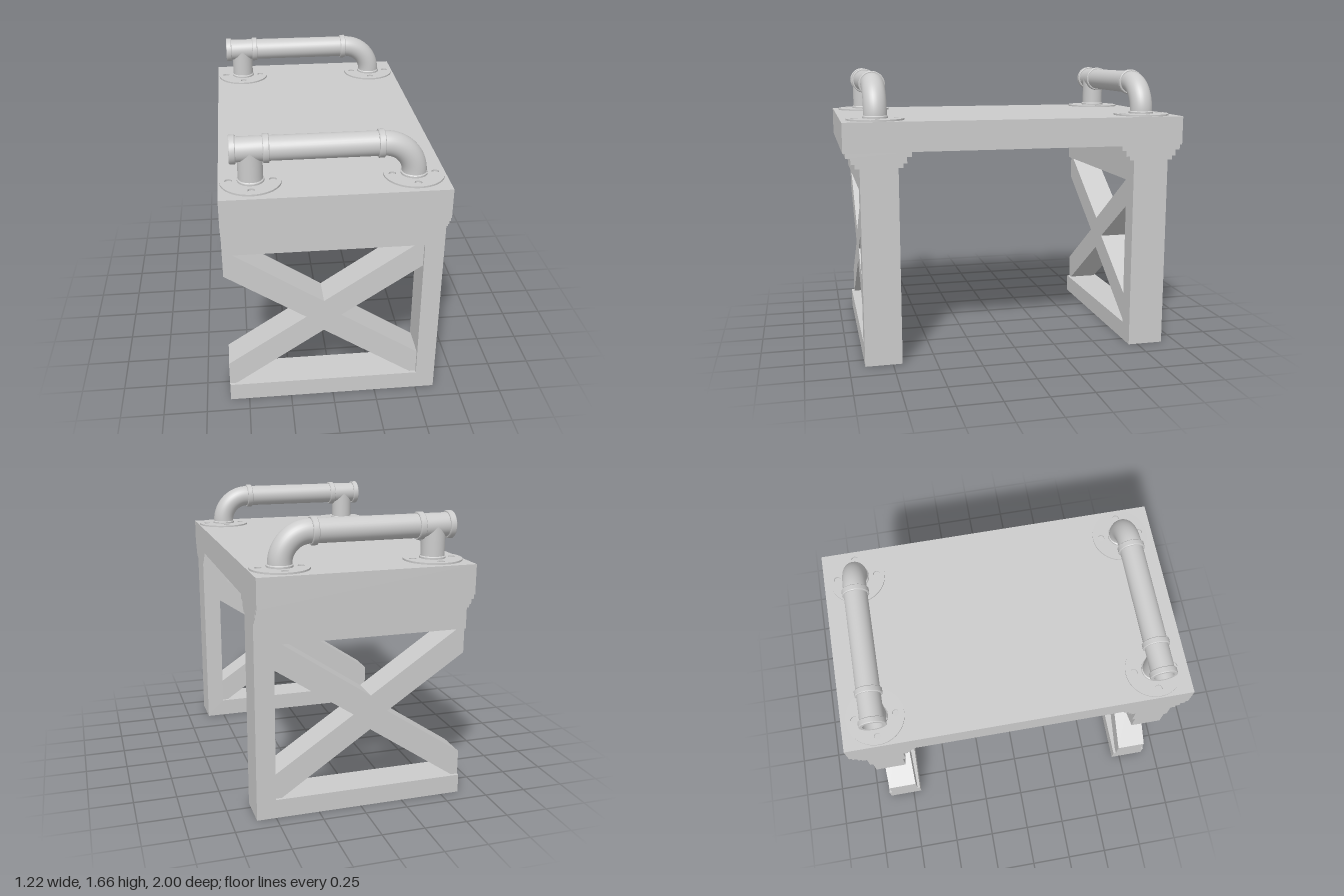
import * as THREE from 'three';
import { toCreasedNormals } from 'three/addons/utils/BufferGeometryUtils.js';

const material = new THREE.MeshStandardMaterial({ color: 0xcccccc, side: THREE.DoubleSide });

function add(group, name, geometry, x = 0, y = 0, z = 0) {
  const mesh = new THREE.Mesh(geometry, material);
  mesh.name = name;
  mesh.position.set(x, y, z);
  group.add(mesh);
  return mesh;
}

// Box spanning the full table width between two heights
function slab(group, name, y0, y1, depth) {
  return add(group, name, new THREE.BoxGeometry(1.22, y1 - y0, depth), 0, (y0 + y1) / 2, 0);
}

// Front outline extruded symmetrically about z = 0
function plate(points, depth) {
  const shape = new THREE.Shape(points.map(([x, y]) => new THREE.Vector2(x, y)));
  const geometry = new THREE.ExtrudeGeometry(shape, { depth, bevelEnabled: false });
  return geometry.translate(0, 0, -depth / 2);
}

function lathe(points) {
  const geometry = new THREE.LatheGeometry(points.map(([r, y]) => new THREE.Vector2(r, y)), 32);
  return toCreasedNormals(geometry, 0.6);
}

function createLeg() {
  const leg = new THREE.Group();
  leg.name = 'leg';
  // C-shaped frame, open on the right-hand side
  add(leg, 'legFrame', plate([
    [-0.61, 0], [0.61, 0], [0.61, 1.14], [-0.61, 1.14],
    [-0.61, 1.01], [0.5, 1.01], [0.5, 0.11], [-0.61, 0.11],
  ], 0.214));
  // Crossed braces, cut flush with the frame
  add(leg, 'crossBrace', plate([
    [-0.61, 0.11], [-0.57, 0.11], [-0.055, 0.46], [0.462, 0.11], [0.5, 0.11],
    [0.5, 0.255], [0.045, 0.56], [0.5, 0.865], [0.5, 1.01], [0.462, 1.01],
    [-0.055, 0.662], [-0.57, 1.01], [-0.61, 1.01], [-0.61, 0.865],
    [-0.155, 0.56], [-0.61, 0.255],
  ], 0.18));
  // Stepped moulding under the top
  slab(leg, 'mouldingLower', 1.14, 1.164, 0.268);
  slab(leg, 'mouldingMiddle', 1.164, 1.199, 0.311);
  slab(leg, 'mouldingUpper', 1.199, 1.227, 0.364);
  return leg;
}

function createFlange() {
  const shape = new THREE.Shape().absarc(0, 0, 0.165, 0, Math.PI * 2);
  for (let i = 0; i < 4; i++) {
    const a = i * Math.PI / 2;
    shape.holes.push(new THREE.Path().absarc(
      0.117 * Math.cos(a), 0.117 * Math.sin(a), 0.02, 0, Math.PI * 2, true));
  }
  const geometry = new THREE.ExtrudeGeometry(shape, { depth: 0.01, bevelEnabled: false, curveSegments: 24 });
  return toCreasedNormals(geometry.rotateX(-Math.PI / 2), 0.6);
}

function createHandle() {
  const handle = new THREE.Group();
  handle.name = 'pipeHandle';
  const barY = 1.587, top = 1.396, r = 0.067, R = 0.077, c = 0.004;

  // Horizontal pipe: recessed open end, then three raised collars
  const collar = (a, b) => [[R - c, a], [R, a + c], [R, b - c], [R - c, b], [r, b]];
  const bar = lathe([
    [0, -0.5], [0.056, -0.5], [0.056, -0.545],
    ...collar(-0.545, -0.51),
    [r, -0.37], ...collar(-0.37, -0.335),
    [r, 0.235], ...collar(0.235, 0.27),
  ]).rotateZ(-Math.PI / 2);
  add(handle, 'pipeBar', bar, 0, barY);

  // Tee stem and elbow
  add(handle, 'teeStem', new THREE.CylinderGeometry(r, r, barY - top, 32, 1, true), -0.437, (barY + top) / 2);
  add(handle, 'elbow', new THREE.TorusGeometry(0.167, r, 32, 24, Math.PI / 2), 0.27, 1.42);

  // Feet with screw holes
  for (const x of [-0.437, 0.437]) {
    add(handle, 'flange', createFlange(), x, top);
    add(handle, 'footCollar', lathe([[0.073, 0], [0.073, 0.02], [r, 0.025]]), x, top);
  }
  return handle;
}

export function createModel() {
  const model = new THREE.Group();
  model.name = 'table';
  slab(model, 'tableTop', 1.227, 1.396, 2);
  for (const side of [-1, 1]) {
    const leg = createLeg();
    leg.position.z = side * 0.803;
    const handle = createHandle();
    handle.position.z = side * 0.803;
    model.add(leg, handle);
  }
  return model;
}
